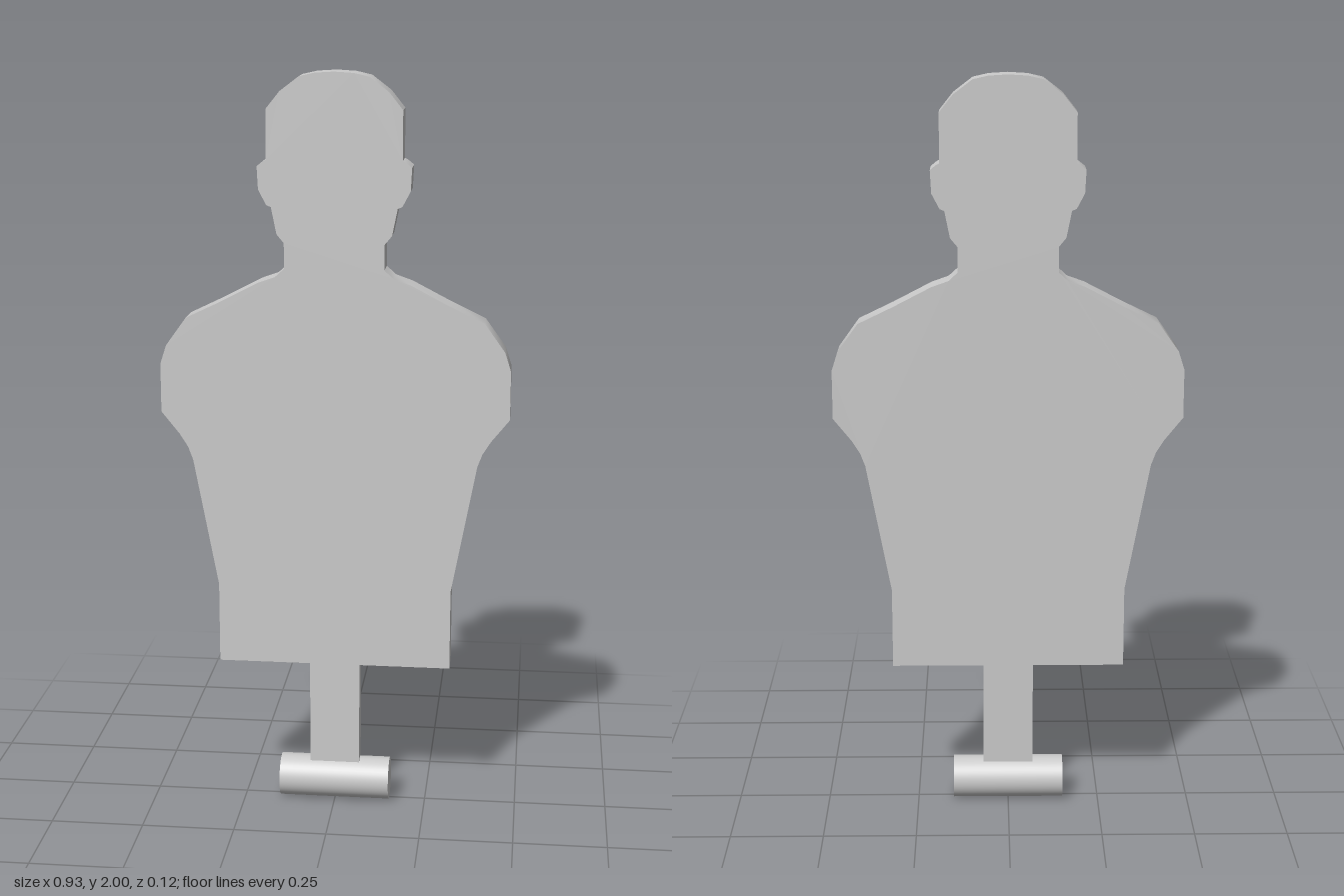
import * as THREE from 'three';
import { toCreasedNormals } from 'three/addons/utils/BufferGeometryUtils.js';

// Half outline of the head and torso, from the crown down to the hem
const HALF = [
  [0, 2], [0.05, 1.997], [0.09, 1.988], [0.14, 1.95], [0.176, 1.905],
  [0.176, 1.777], [0.184, 1.773], [0.2, 1.76], [0.197, 1.7], [0.176, 1.66], [0.164, 1.655],
  [0.15, 1.585], [0.131, 1.562], [0.131, 1.495], [0.155, 1.473], [0.2, 1.457],
  [0.3, 1.405], [0.393, 1.36], [0.447, 1.285], [0.463, 1.235], [0.463, 1.105],
  [0.415, 1.045], [0.393, 1.01], [0.38, 0.975], [0.315, 0.625], [0.315, 0.405],
];

export function createModel() {
  const group = new THREE.Group();
  const material = new THREE.MeshStandardMaterial({ color: 0xcccccc });
  const add = (name, geometry, y = 0) => {
    const mesh = new THREE.Mesh(geometry, material);
    mesh.name = name;
    mesh.position.y = y;
    group.add(mesh);
    return mesh;
  };

  // Flat silhouette: mirrored outline, extruded to an even thickness
  const mirrored = HALF.slice(1).reverse().map(([x, y]) => [-x, y]);
  const outline = [...HALF, ...mirrored].map(([x, y]) => new THREE.Vector2(x, y));
  const depth = 0.078;
  const body = new THREE.ExtrudeGeometry(new THREE.Shape(outline), { depth, bevelEnabled: false });
  body.translate(0, 0, -depth / 2);
  add('silhouette', toCreasedNormals(body, Math.PI / 6));

  // Post running from the hem into the bar
  add('post', new THREE.BoxGeometry(0.136, 0.345, 0.048), 0.2325);

  // Round cross bar at the foot
  const radius = 0.058;
  const bar = new THREE.CylinderGeometry(radius, radius, 0.302, 48);
  bar.rotateZ(Math.PI / 2);
  add('footBar', bar, radius);

  return group;
}
